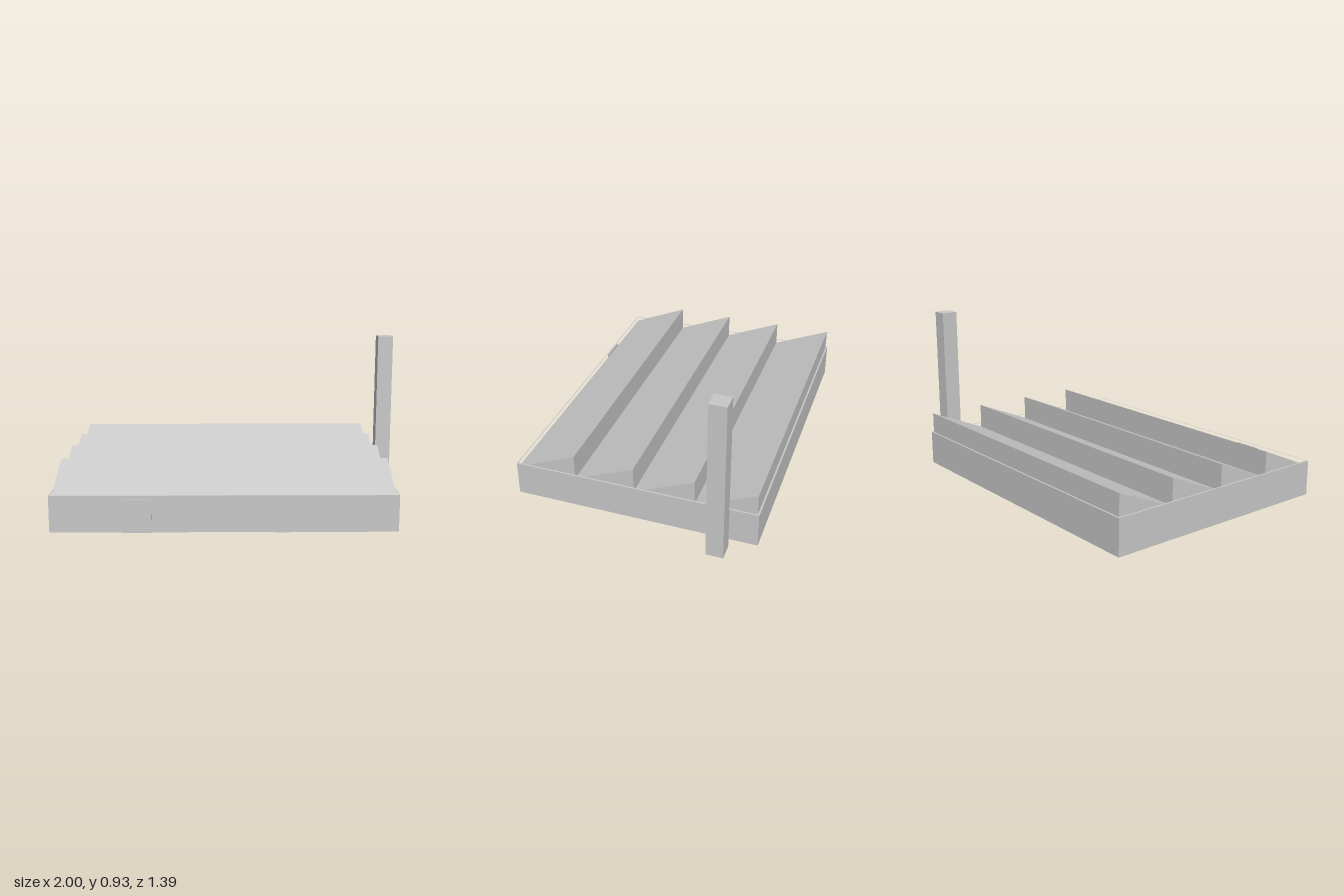
import * as THREE from 'three';

export function createModel() {
  const model = new THREE.Group();
  model.name = 'factory';
  const grey = new THREE.MeshStandardMaterial({ color: 0xc8c8c8 });
  grey.name = 'plain grey';

  function add(name, geometry, parent = model) {
    const mesh = new THREE.Mesh(geometry, grey);
    mesh.name = name;
    parent.add(mesh);
    return mesh;
  }

  // box given by its lower and upper limits
  function box(name, [x0, y0, z0], [x1, y1, z1]) {
    const mesh = add(name, new THREE.BoxGeometry(x1 - x0, y1 - y0, z1 - z0));
    mesh.position.set((x0 + x1) / 2, (y0 + y1) / 2, (z0 + z1) / 2);
  }

  function rectangle(Type, x0, z0, x1, z1) {
    return new Type().moveTo(x0, -z0).lineTo(x1, -z0).lineTo(x1, -z1).lineTo(x0, -z1).closePath();
  }

  const left = 0.85, right = -1, front = 0.69, back = -0.697;
  const wallTop = 0.2, eave = 0.174, ridge = 0.32, rim = 0.01;

  // outer walls, rising a little above the eaves as a parapet
  const plan = rectangle(THREE.Shape, right, back, left, front);
  plan.holes.push(rectangle(THREE.Path, right + rim, back + rim, left - rim, front - 0.007));
  const walls = new THREE.ExtrudeGeometry(plan, { depth: wallTop, bevelEnabled: false });
  walls.rotateX(-Math.PI / 2);
  add('walls', walls);
  box('floor', [right + rim, 0, back + rim], [left - rim, 0.01, front - 0.007]);

  // sawtooth roof: four wedges, each sloping to the front with an upright back
  const roof = new THREE.Group();
  roof.name = 'sawtoothRoof';
  model.add(roof);
  const pitch = 0.3425, length = left - right - 2 * rim;
  const profile = new THREE.Shape();
  profile.moveTo(0, eave - 0.01).lineTo(pitch, eave - 0.01).lineTo(pitch, ridge).lineTo(0, eave).closePath();
  for (let i = 0; i < 4; i++) {
    const tooth = new THREE.ExtrudeGeometry(profile, { depth: length, bevelEnabled: false });
    tooth.rotateY(Math.PI / 2); // profile runs towards the back, extrusion along +x
    add('roofTooth' + (i + 1), tooth, roof).position.set(right + rim, 0, 0.683 - i * pitch);
  }

  // gate and small door on the front wall
  box('gate', [-0.615, 0, front], [-0.46, 0.18, front + 0.007]);
  box('door', [0.195, 0, front], [0.27, 0.1, front + 0.007]);

  // free-standing square chimney
  box('chimney', [0.905, 0, -0.553], [1, 0.93, -0.458]);

  return model;
}
